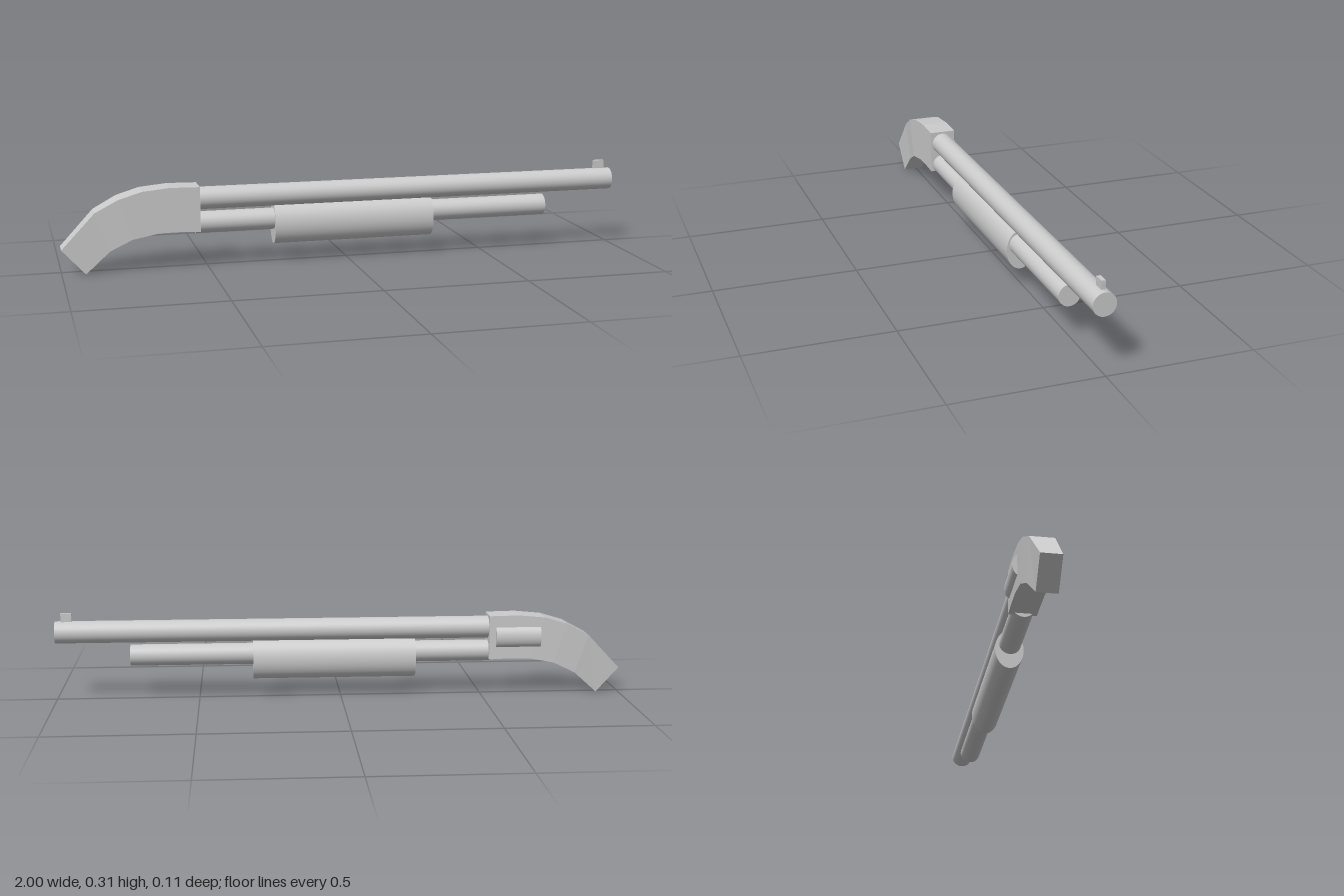
import * as THREE from 'three';

const material = new THREE.MeshStandardMaterial({ color: 0xcccccc });
const flat = new THREE.MeshStandardMaterial({ color: 0xcccccc, flatShading: true });

function add(group, name, geometry, mat = material) {
  const mesh = new THREE.Mesh(geometry, mat);
  mesh.name = name;
  group.add(mesh);
  return mesh;
}

// Elliptical rod running along x
function rod(x0, x1, y, z, ry, rz) {
  const g = new THREE.CylinderGeometry(1, 1, x1 - x0, 48);
  g.rotateZ(-Math.PI / 2);
  g.scale(1, ry, rz);
  g.translate((x0 + x1) / 2, y, z);
  return g;
}

// Four-sided body lofted through sections [bottomX, bottomY, topX, topY, zBack, zFront]
function loft(sections) {
  const rings = sections.map(([bx, by, tx, ty, z0, z1]) => [
    [bx, by, z0], [tx, ty, z0], [tx, ty, z1], [bx, by, z1],
  ]);
  const pos = [];
  const quad = (a, b, c, d) => pos.push(...a, ...b, ...c, ...a, ...c, ...d);
  for (let i = 0; i < rings.length - 1; i++) {
    for (let k = 0; k < 4; k++) {
      const n = (k + 1) % 4;
      quad(rings[i][k], rings[i][n], rings[i + 1][n], rings[i + 1][k]);
    }
  }
  const first = rings[0], last = rings[rings.length - 1];
  quad(first[3], first[2], first[1], first[0]);
  quad(last[0], last[1], last[2], last[3]);
  const g = new THREE.BufferGeometry();
  g.setAttribute('position', new THREE.Float32BufferAttribute(pos, 3));
  g.computeVertexNormals();
  return g;
}

export function createModel() {
  const model = new THREE.Group();
  model.name = 'pumpGun';

  // Receiver sweeping down into the curved grip
  add(model, 'receiverAndGrip', loft([
    [-0.92, 0, -1, 0.088, -0.021, 0.048],
    [-0.837, 0.075, -0.885, 0.21, -0.033, 0.048],
    [-0.76, 0.113, -0.805, 0.253, -0.038, 0.055],
    [-0.67, 0.13, -0.725, 0.277, -0.039, 0.055],
    [-0.6, 0.131, -0.63, 0.286, -0.039, 0.055],
    [-0.527, 0.128, -0.527, 0.284, -0.039, 0.055],
  ]), flat);

  // Barrel, magazine tube and sliding pump
  add(model, 'barrel', rod(-0.54, 1, 0.238, 0.01, 0.039, 0.039));
  add(model, 'magazineTube', rod(-0.54, 0.74, 0.153, 0.01, 0.0375, 0.0375));
  add(model, 'pumpHandle', rod(-0.265, 0.31, 0.133, 0.008, 0.07, 0.049));

  // Bulging port cover on the back side of the receiver
  add(model, 'portCover', rod(-0.71, -0.55, 0.208, -0.03, 0.038, 0.025));

  // Small sight near the muzzle
  const sight = add(model, 'frontSight', new THREE.BoxGeometry(0.038, 0.04, 0.014));
  sight.position.set(0.96, 0.286, 0.007);

  return model;
}
